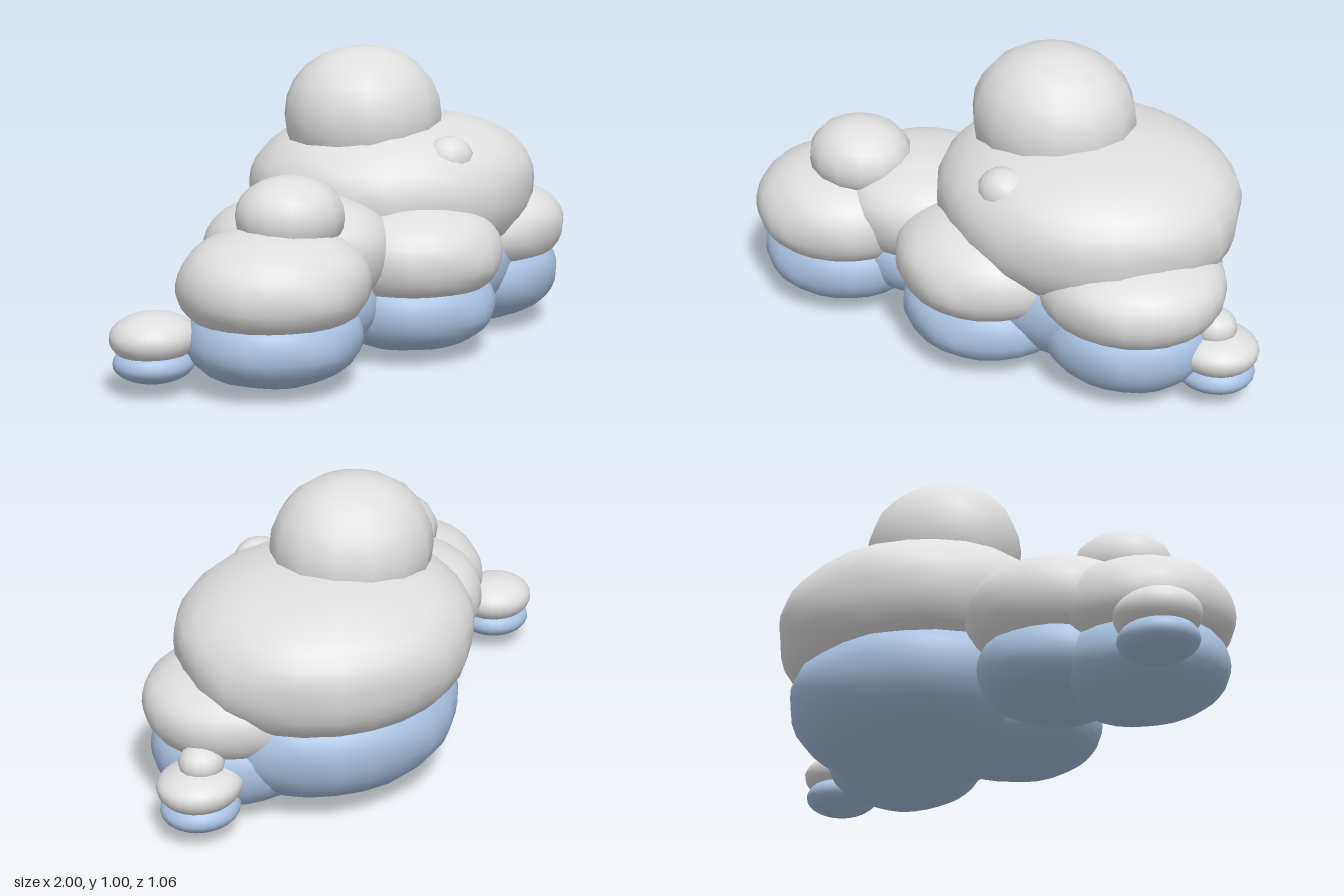
import * as THREE from 'three';
import { mergeVertices } from 'three/addons/utils/BufferGeometryUtils.js';

const upper = new THREE.MeshStandardMaterial({ name: 'cloudGrey', color: 0xdfdfdf });
const lower = new THREE.MeshStandardMaterial({ name: 'cloudBlue', color: 0xaac4e4 });

// A squashed sphere: p > 2 squares off its profile, wobble adds soft lumps.
function blob(name, material, [x, y, z], [rx, up, down, rz], p = 2.2, wobble = 0, [w, h] = [24, 18]) {
  let geo = new THREE.SphereGeometry(1, w, h);
  geo.deleteAttribute('uv');
  geo.deleteAttribute('normal');
  const pos = geo.attributes.position;
  const v = new THREE.Vector3();
  for (let i = 0; i < pos.count; i++) {
    v.fromBufferAttribute(pos, i);
    const s = (Math.hypot(v.x, v.z) ** p + Math.abs(v.y) ** p) ** (-1 / p);
    const lump = 1 + wobble * Math.sin(6 * v.x + 7 * x) * Math.cos(5 * v.y + 1) * Math.cos(6 * v.z + 3 * z);
    v.multiplyScalar(s * lump);
    pos.setXYZ(i, v.x * rx, v.y * (v.y > 0 ? up : down), v.z * rz);
  }
  geo = mergeVertices(geo, 1e-5);
  geo.computeVertexNormals();
  const mesh = new THREE.Mesh(geo, material);
  mesh.name = name;
  mesh.position.set(x, y, z);
  return mesh;
}

// A puff is a grey cap pressed onto a slightly narrower blue base.
function puff(name, x, z, cap, base, wobble = 0.02) {
  const group = new THREE.Group();
  group.name = name;
  group.add(
    blob(name + 'Cap', upper, [x, cap.y, z], cap.r, cap.p, wobble),
    blob(name + 'Base', lower, [x, base.y, z], base.r, base.p, wobble)
  );
  return group;
}

export function createModel() {
  const cloud = new THREE.Group();
  cloud.name = 'cloud';

  // Large body
  cloud.add(puff('mainPuff', 0.29, -0.058,
    { y: 0.53, r: [0.52, 0.24, 0.3, 0.47], p: 2.3 },
    { y: 0.27, r: [0.47, 0.22, 0.268, 0.425], p: 2.1 }));

  // Medium puffs around it
  cloud.add(puff('rightEndPuff', -0.542, 0.225,
    { y: 0.338, r: [0.314, 0.182, 0.17, 0.297] },
    { y: 0.168, r: [0.29, 0.16, 0.145, 0.272] }));
  cloud.add(puff('linkPuff', -0.3, 0.08,
    { y: 0.395, r: [0.31, 0.178, 0.2, 0.305] },
    { y: 0.21, r: [0.27, 0.16, 0.15, 0.265] }));
  cloud.add(puff('frontPuff', 0.09, 0.222,
    { y: 0.343, r: [0.312, 0.182, 0.17, 0.297] },
    { y: 0.168, r: [0.292, 0.16, 0.145, 0.274] }));
  cloud.add(puff('leftEndPuff', 0.57, 0.09,
    { y: 0.36, r: [0.318, 0.153, 0.17, 0.295] },
    { y: 0.195, r: [0.29, 0.16, 0.175, 0.278] }));

  // Small puffs at both ends
  for (const [name, x, top] of [['rightTinyPuff', -0.857, 0.078], ['leftTinyPuff', 0.857, 0.065]]) {
    cloud.add(puff(name, x, 0.013,
      { y: 0.188, r: [0.143, top, 0.085, 0.132], p: 2 },
      { y: 0.105, r: [0.132, 0.065, 0.062, 0.124], p: 2 }, 0));
  }

  // Round grey tops
  cloud.add(
    blob('topBall', upper, [0.145, 0.77, -0.06], [0.28, 0.236, 0.24, 0.26], 2.12, 0, [14, 12]),
    blob('rightBall', upper, [-0.465, 0.54, 0.218], [0.182, 0.13, 0.13, 0.168], 2.1, 0, [14, 12]),
    blob('leftTinyBall', upper, [0.845, 0.26, 0.012], [0.077, 0.06, 0.06, 0.072], 2.1, 0, [14, 10]),
    blob('frontBump', upper, [0.205, 0.65, 0.28], [0.09, 0.075, 0.075, 0.08], 2.1, 0, [14, 10])
  );
  return cloud;
}
